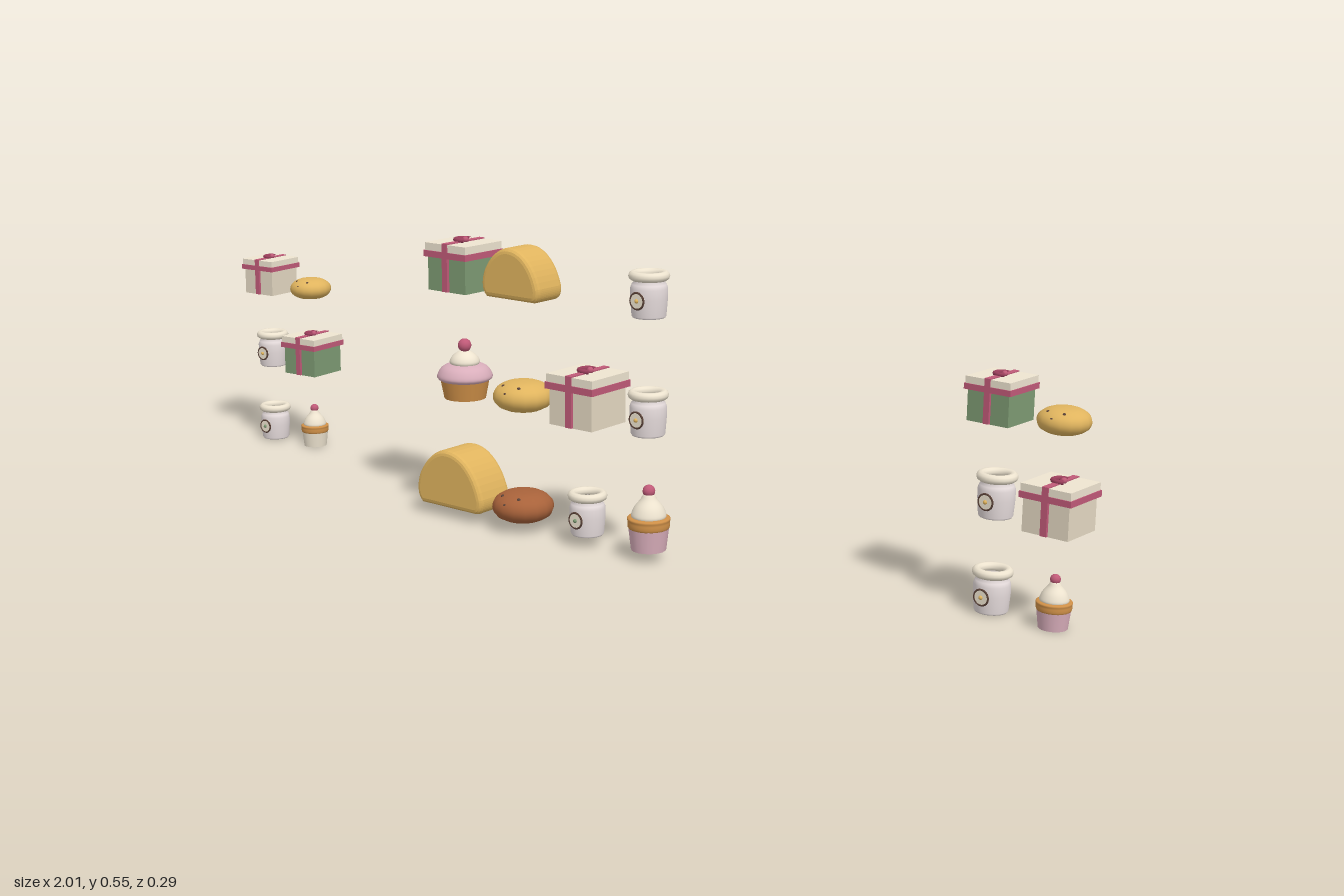
import * as THREE from 'three';

const C = {
  cream: 0xeee4d0, box: 0xe4d8c2, green: 0x7d9a73, ribbon: 0xc05a78, bow: 0x9c3f5c, gold: 0xe0b45e,
  brown: 0xa8623a, pink: 0xd9aebb, sponge: 0xcf9048, glass: 0xe6dcdc, dark: 0x5a4238
};

function add(parent, name, geometry, color, x = 0, y = 0, z = 0) {
  const mesh = new THREE.Mesh(geometry, new THREE.MeshStandardMaterial({ color }));
  mesh.name = name;
  mesh.position.set(x, y, z);
  parent.add(mesh);
  return mesh;
}

const lathe = (points, sides = 24) =>
  new THREE.LatheGeometry(points.map(([r, y]) => new THREE.Vector2(r, y)), sides);

// Smooth round profile through a few points
const roundLathe = (points, sides = 24) => {
  const curve = new THREE.SplineCurve(points.map(([r, y]) => new THREE.Vector2(r, y)));
  const profile = curve.getPoints(20).map(p => new THREE.Vector2(Math.max(0, p.x), p.y));
  return new THREE.LatheGeometry(profile, sides);
};

const box = (w, h, d) => new THREE.BoxGeometry(w, h, d);

// Gift box: ribbon runs up the front, over the lid and down the back
function gift(color) {
  const g = new THREE.Group();
  g.name = 'giftBox';
  add(g, 'boxBody', box(0.094, 0.066, 0.094), color, 0, 0.033);
  add(g, 'lidTrim', box(0.106, 0.012, 0.106), C.ribbon, 0, 0.07);
  add(g, 'lid', box(0.102, 0.015, 0.102), C.cream, 0, 0.083);
  add(g, 'lidRibbon', box(0.013, 0.003, 0.106), C.ribbon, 0, 0.091);
  for (const s of [-1, 1]) {
    add(g, 'sideRibbon', box(0.013, 0.066, 0.006), C.ribbon, 0, 0.034, s * 0.05);
    add(g, 'lidEdgeRibbon', box(0.013, 0.016, 0.003), C.ribbon, 0, 0.084, s * 0.0515);
  }
  const bow = add(g, 'bow', new THREE.TorusGeometry(0.0145, 0.0045, 8, 20, Math.PI * 1.5), C.bow, 0, 0.0945);
  bow.rotation.set(-Math.PI / 2, 0, Math.PI / 4);
  add(g, 'bowKnot', new THREE.SphereGeometry(0.006, 10, 8), C.ribbon, 0.006, 0.095);
  return g;
}

// Jar with a thick open rim, filling and round front label
function jar(filling) {
  const g = new THREE.Group();
  g.name = 'jar';
  add(g, 'jarBody', lathe([[0.024, 0], [0.029, 0.001], [0.031, 0.004], [0.0335, 0.035], [0.0335, 0.053],
    [0.031, 0.06], [0.027, 0.065], [0.027, 0.078], [0.023, 0.078], [0.023, 0.062]]), C.glass);
  add(g, 'filling', new THREE.CylinderGeometry(0.0245, 0.0245, 0.062, 20), filling, 0, 0.032);
  const rim = add(g, 'jarRim', new THREE.TorusGeometry(0.0285, 0.0085, 10, 28), C.cream, 0, 0.075);
  rim.rotation.x = Math.PI / 2;
  const label = add(g, 'label', new THREE.CylinderGeometry(0.015, 0.015, 0.004, 20), C.cream, 0, 0.034, 0.034);
  label.rotation.x = Math.PI / 2;
  add(g, 'labelRing', new THREE.TorusGeometry(0.0145, 0.002, 6, 20), C.dark, 0, 0.034, 0.035);
  add(g, 'labelDot', new THREE.SphereGeometry(0.004, 8, 6), filling, 0, 0.034, 0.036);
  return g;
}

// Round bun with a flat base and small seeds
function bun(color) {
  const g = new THREE.Group();
  g.name = 'bun';
  add(g, 'bunBody', roundLathe([[0.033, 0], [0.05, 0.009], [0.057, 0.024], [0.051, 0.04],
    [0.03, 0.052], [0, 0.055]], 16), color);
  const base = add(g, 'bunBase', new THREE.CircleGeometry(0.034, 16), C.cream, 0, 0.0003);
  base.rotation.x = Math.PI / 2;
  for (const [x, y, z] of [[-0.019, 0.046, 0.034], [0.019, 0.046, 0.034], [0, 0.036, 0.05]])
    add(g, 'seed', new THREE.SphereGeometry(0.004, 8, 6), C.dark, x, y, z);
  return g;
}

// Domed loaf, extruded front to back
function loaf(width, height, depth) {
  const b = 0.01, w = width / 2 - b, h = height - 2 * b;
  const s = new THREE.Shape();
  s.moveTo(-0.9 * w, 0);
  s.bezierCurveTo(-1.03 * w, 0.08 * h, -1.02 * w, 0.3 * h, -0.9 * w, 0.5 * h);
  s.bezierCurveTo(-0.65 * w, 0.85 * h, -0.35 * w, h, -0.05 * w, h);
  s.bezierCurveTo(0.45 * w, h, 0.85 * w, 0.65 * h, w, 0.2 * h);
  s.bezierCurveTo(1.02 * w, 0.1 * h, 0.98 * w, 0, 0.9 * w, 0);
  const geo = new THREE.ExtrudeGeometry(s, {
    depth: depth - 2 * b, bevelThickness: b, bevelSize: b, bevelSegments: 3, curveSegments: 10
  });
  geo.translate(0, b, b - depth / 2);
  const g = new THREE.Group();
  g.name = 'loaf';
  add(g, 'loafBody', geo, C.gold);
  return g;
}

// Tall cupcake: tapered cup, sponge band, cream peak and cherry
function cupcake(cupColor) {
  const g = new THREE.Group();
  g.name = 'cupcake';
  add(g, 'cup', new THREE.CylinderGeometry(0.037, 0.032, 0.042, 20), cupColor, 0, 0.021);
  add(g, 'sponge', roundLathe([[0.034, 0.038], [0.038, 0.043], [0.0385, 0.053], [0.036, 0.061], [0, 0.062]]), C.sponge);
  add(g, 'creamPeak', roundLathe([[0.031, 0.06], [0.032, 0.066], [0.026, 0.08], [0.015, 0.094], [0.009, 0.104], [0, 0.106]]), C.cream);
  add(g, 'cherry', new THREE.SphereGeometry(0.0115, 16, 12), C.ribbon, 0, 0.109);
  return g;
}

// Wide iced cake
function cake() {
  const g = new THREE.Group();
  g.name = 'icedCake';
  add(g, 'cakeBase', new THREE.CylinderGeometry(0.047, 0.04, 0.036, 24), C.sponge, 0, 0.018);
  add(g, 'icing', roundLathe([[0.044, 0.033], [0.053, 0.04], [0.051, 0.05], [0.042, 0.061], [0.025, 0.067], [0, 0.068]]), C.pink);
  add(g, 'creamTop', roundLathe([[0.026, 0.064], [0.029, 0.071], [0.024, 0.081], [0.012, 0.09], [0, 0.092]]), C.cream);
  add(g, 'cherry', new THREE.SphereGeometry(0.013, 16, 12), C.ribbon, 0, 0.102);
  return g;
}

export function createModel() {
  const model = new THREE.Group();
  model.name = 'bakeryGoods';
  const place = (item, x, y, z, scale = 1, turn = 0) => {
    item.position.set(x, y, z);
    item.scale.setScalar(scale);
    item.rotation.y = turn;
    model.add(item);
  };

  // Middle display, three levels
  const z = 0.0875;
  place(gift(C.green), -0.222, 0.446, z);
  place(loaf(0.138, 0.096, 0.075), -0.077, 0.446, z);
  place(jar(C.gold), 0.219, 0.446, z);
  place(cake(), -0.222, 0.235, z);
  place(bun(C.gold), -0.075, 0.235, z);
  place(gift(C.box), 0.08, 0.232, z, 1.05);
  place(jar(C.gold), 0.219, 0.232, z);
  place(loaf(0.168, 0.114, 0.088), -0.231, 0.02, z);
  place(bun(C.brown), -0.077, 0.02, z, 1.03);
  place(jar(C.green), 0.08, 0.02, z);
  place(cupcake(C.pink), 0.222, 0.02, z);

  // Right side display
  const l = 0.08, s = 0.77;
  place(gift(C.green), -0.955 + 1.79, 0.33, -0.055, 0.83, -l);
  place(bun(C.gold), 0.952, 0.33, -0.047, s, -l);
  place(jar(C.gold), 0.835, 0.165, -0.055, 0.93, -l);
  place(gift(C.box), 0.952, 0.165, -0.047, 0.9, -l);
  place(jar(C.gold), 0.835, 0, -0.055, 0.93, -l);
  place(cupcake(C.pink), 0.952, 0, -0.047, 0.76, -l);

  // Left side display
  place(gift(C.box), -0.955, 0.33, -0.087, 0.83, l);
  place(bun(C.gold), -0.84, 0.33, -0.096, s, l);
  place(jar(C.gold), -0.957, 0.165, -0.087, 0.93, l);
  place(gift(C.green), -0.84, 0.165, -0.096, 0.9, l);
  place(jar(C.green), -0.957, 0, -0.087, 0.93, l);
  place(cupcake(C.cream), -0.84, 0, -0.096, 0.76, l);

  return model;
}
